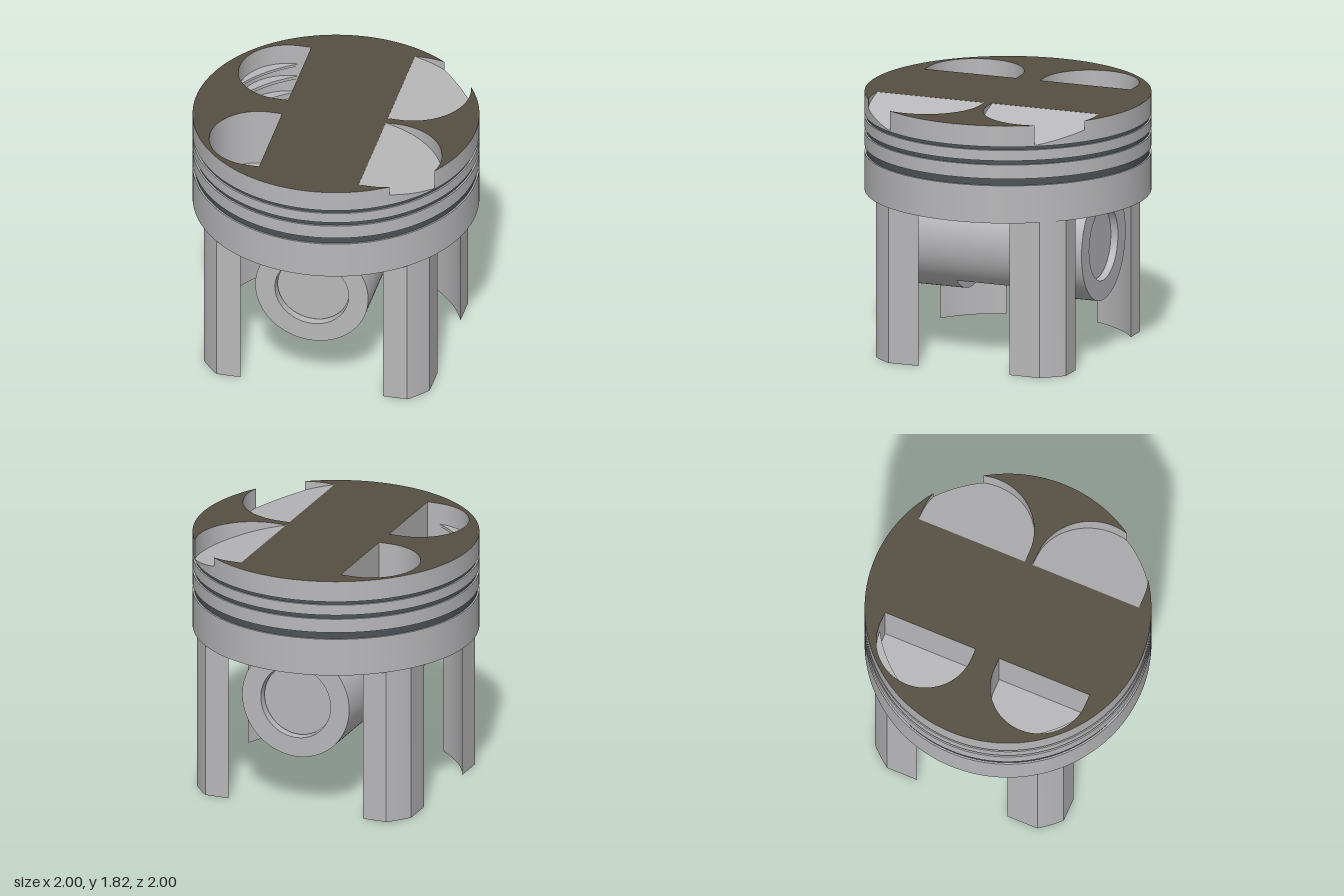
import * as THREE from 'three';
import { toCreasedNormals } from 'three/addons/utils/BufferGeometryUtils.js';

const steel = new THREE.MeshStandardMaterial({ name: 'steel', color: 0xb8b8ba });
const crownCoat = new THREE.MeshStandardMaterial({ name: 'crown coating', color: 0x564f42 });
const ringDark = new THREE.MeshStandardMaterial({ name: 'ring dark', color: 0x4c5256, side: THREE.DoubleSide });

const V = (x, y) => new THREE.Vector2(x, y);
const PIN_Y = 0.795;

// D-shaped valve pocket outline: straight edge near the middle, round side outwards
function pocket(sideX, sideZ, r, cx) {
  const pts = [V(0.365, -r)];
  for (let i = 0; i <= 48; i++) {
    const a = -Math.PI / 2 + (Math.PI * i) / 48;
    pts.push(V(cx + r * Math.cos(a), r * Math.sin(a)));
  }
  pts.push(V(0.365, r));
  pts.forEach((p) => p.set(p.x * sideX, p.y + 0.4325 * sideZ));
  return pts;
}
const smallPockets = [1, -1].map((s) => pocket(-1, s, 0.343, 0.452));
const largePockets = [1, -1].map((s) => pocket(1, s, 0.403, 0.45));

// Disc outline; large pockets bite through its rim
function disc(R, bites = []) {
  const pts = [];
  const used = new Set();
  for (let i = 0; i < 360; i++) {
    const a = (i / 360) * Math.PI * 2;
    const p = V(R * Math.cos(a), R * Math.sin(a));
    const bite = bites.find((b) => {
      const c = V(0.45, (b[0].y + b[b.length - 1].y) / 2);
      return p.distanceTo(c) < 0.403;
    });
    if (!bite) pts.push(p);
    else if (!used.has(bite)) {
      used.add(bite);
      const n = bite.length;
      let end = 0;
      bite.forEach((q, k) => { if (q.length() > R) end = k; });
      const inside = [];
      for (let k = 1; k <= n; k++) {
        const q = bite[(end + k) % n];
        if (q.length() < R) inside.push(q);
      }
      pts.push(...inside.reverse());
    }
  }
  return new THREE.Shape(pts);
}

function circleHole(r, y = 0) {
  return new THREE.Path().absarc(0, y, r, 0, Math.PI * 2, true);
}

const extrude = (shape, depth) =>
  new THREE.ExtrudeGeometry(shape, { depth, bevelEnabled: false, curveSegments: 64 });

// Horizontal slab from y0 to y1
function slab(shape, y0, y1) {
  return extrude(shape, y1 - y0).rotateX(-Math.PI / 2).translate(0, y0, 0);
}

export function createModel() {
  const model = new THREE.Group();
  model.name = 'piston';
  const add = (name, geo, mat = steel, parent = model) => {
    const m = new THREE.Mesh(toCreasedNormals(geo, 0.5), mat);
    m.name = name;
    parent.add(m);
    return m;
  };

  // Crown: stacked slabs, narrower at the ring grooves
  const grooves = [[1.39, 1.44], [1.54, 1.57], [1.645, 1.67]];
  const layers = [[1.44, 1.54], [1.57, 1.645], [1.67, 1.811]];
  const drilled = (R, bites) => {
    const s = disc(R, bites);
    smallPockets.forEach((p) => s.holes.push(new THREE.Path(p)));
    return s;
  };
  const skirtBand = disc(1);
  skirtBand.holes.push(circleHole(0.88));
  add('skirtBand', slab(skirtBand, 1.12, 1.31));
  add('crownBase', slab(disc(1), 1.31, 1.39));
  layers.forEach(([a, b], i) =>
    add('crownLand', slab(drilled(1, i === 2 ? largePockets : []), a, b)));
  add('crownTop', slab(drilled(1, largePockets), 1.811, 1.82), [crownCoat, steel]);

  // Piston rings, with their inner edges showing in the deep pockets
  grooves.forEach(([a, b]) => {
    add('grooveCore', slab(drilled(0.975), a, b));
    const inner = new THREE.Shape().absarc(0, 0, 0.974, 0, Math.PI * 2);
    inner.holes.push(circleHole(0.9));
    add('ringInner', slab(inner, a + 0.003, b - 0.003));
    add('pistonRing', new THREE.CylinderGeometry(0.988, 0.988, b - a, 128, 1, true)
      .translate(0, (a + b) / 2, 0), ringDark);
  });

  // Sloping floors of the large pockets
  largePockets.forEach((p) => {
    const pts = p.map((q) => (q.length() > 1 ? q.clone().setLength(1) : q));
    const geo = slab(new THREE.Shape(pts), 1.67, 1.82);
    const pos = geo.attributes.position;
    for (let i = 0; i < pos.count; i++) {
      if (pos.getY(i) > 1.8) pos.setY(i, 1.819 - 0.3 * (pos.getX(i) - 0.365));
    }
    geo.computeVertexNormals();
    add('largePocketFloor', geo);
  });

  // Four skirt legs: slices of a tube trimmed square at the sides
  for (const sx of [1, -1]) for (const sz of [1, -1]) {
    const pts = [];
    const arc = (x0, y0, x1, y1) => {
      const a = Math.atan2(y0, x0), b = Math.atan2(y1, x1), r = Math.hypot(x0, y0);
      for (let i = 0; i <= 12; i++) {
        const t = a + ((b - a) * i) / 12;
        pts.push(V(sx * r * Math.cos(t), sz * r * Math.sin(t)));
      }
    };
    arc(0.81, 0.57, 0.685, 0.717);
    arc(0.51, 0.717, 0.81, 0.342);
    add('skirtLeg', slab(new THREE.Shape(pts), 0, 1.125));
  }

  // Pin bosses: round end blocks joined to the crown by a square neck
  const R = 0.405, W = 0.305, TOP = 1.31 - PIN_Y, S = 0.272;
  const join = Math.acos(W / R);
  const boss = new THREE.Shape();
  boss.moveTo(W, TOP);
  boss.lineTo(-W, TOP);
  boss.absarc(0, 0, R, Math.PI - join, Math.PI * 2 + join, false);
  boss.closePath();
  boss.holes.push(circleHole(0.264));
  for (const z of [0.275, -0.72]) add('pinBoss', extrude(boss, 0.445).translate(0, PIN_Y, z));

  // Cheeks on both sides of the rod slot
  const cheek = new THREE.Shape();
  cheek.moveTo(S, TOP);
  cheek.lineTo(S, -0.3);
  cheek.absarc(0, 0, R, -Math.acos(S / R), join, false);
  cheek.lineTo(W, TOP);
  cheek.closePath();
  for (const turn of [0, Math.PI]) {
    add('slotCheek', extrude(cheek, 0.55).translate(0, PIN_Y, -0.275).rotateY(turn));
  }

  // Wrist pin, slightly recessed in its bore
  add('wristPin', new THREE.CylinderGeometry(0.257, 0.257, 1.34, 64)
    .rotateX(Math.PI / 2).translate(0, PIN_Y, 0));

  return model;
}
